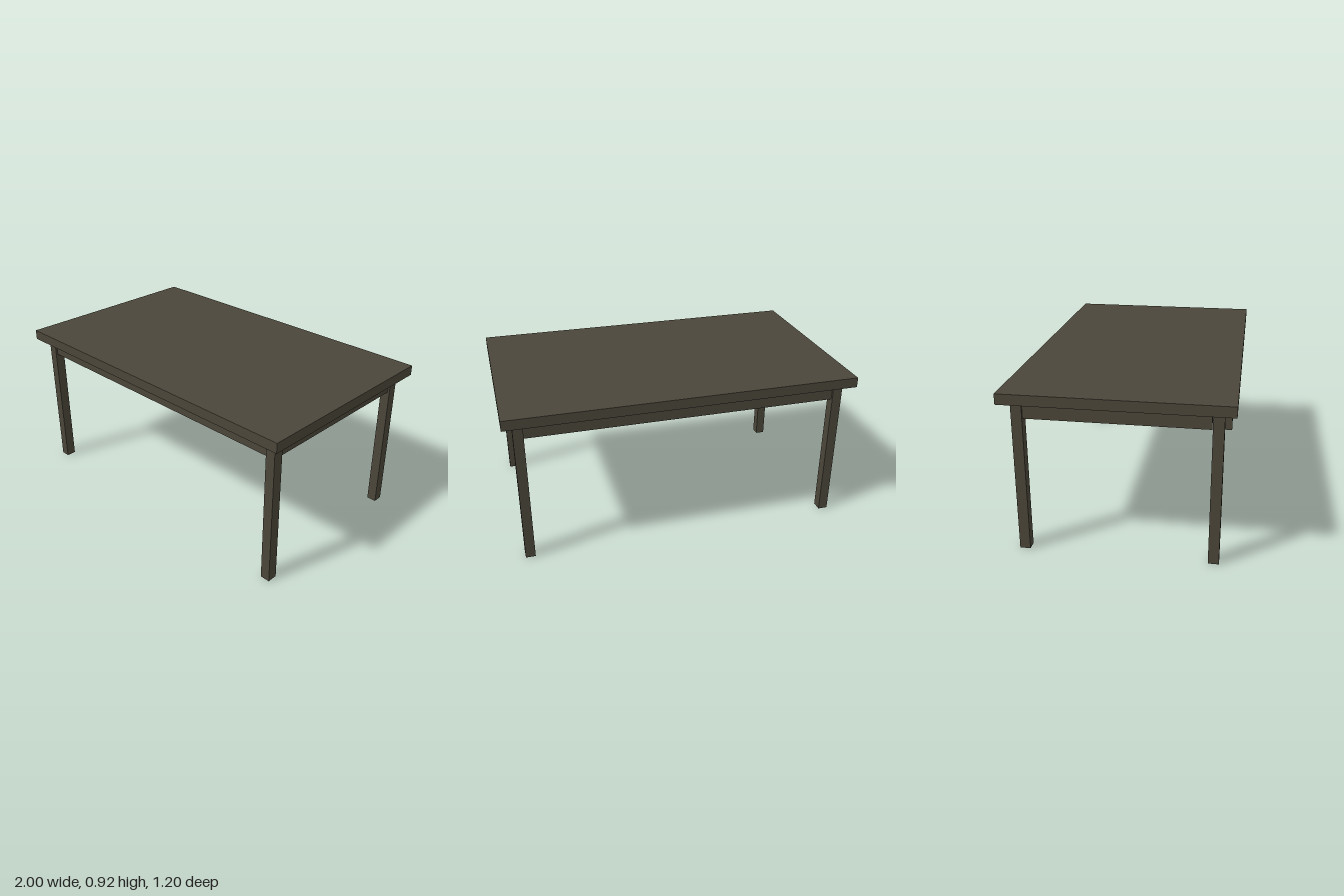
import * as THREE from 'three';

export function createModel() {
  const model = new THREE.Group();
  model.name = 'table';
  const wood = new THREE.MeshStandardMaterial({ color: 0x4b463a });
  wood.name = 'darkWood';

  // Box given by its minimum and maximum corners
  function box(name, [x0, y0, z0], [x1, y1, z1], parent = model) {
    const mesh = new THREE.Mesh(new THREE.BoxGeometry(x1 - x0, y1 - y0, z1 - z0), wood);
    mesh.position.set((x0 + x1) / 2, (y0 + y1) / 2, (z0 + z1) / 2);
    mesh.name = name;
    parent.add(mesh);
    return mesh;
  }

  const under = 0.857, apronBottom = 0.762;
  box('tableTop', [-1, under, -0.602], [1, 0.915, 0.602]);

  // Diagonal brace plate with end tabs and two bolts, facing +z before turning
  function cornerBracket() {
    const bracket = new THREE.Group();
    bracket.name = 'cornerBracket';
    box('bracketPlate', [-0.1, -0.035, -0.004], [0.1, 0.035, 0.004], bracket);
    for (const s of [-1, 1]) {
      const tab = box('bracketTab', [-0.02, -0.035, -0.003], [0.02, 0.035, 0.003], bracket);
      tab.position.set(s * 0.112, 0, -0.014);
      tab.rotation.y = s * Math.PI / 4;
      const bolt = new THREE.Mesh(new THREE.CylinderGeometry(0.008, 0.008, 0.11, 12), wood);
      bolt.rotation.x = Math.PI / 2;
      bolt.position.set(s * 0.05, 0.005, -0.04);
      if (s > 0) bolt.position.x = 0.012;
      else bolt.position.x = -0.012;
      bolt.position.y = s * 0.017;
      bolt.name = 'bolt';
      bracket.add(bolt);
      const head = new THREE.Mesh(new THREE.CylinderGeometry(0.01, 0.01, 0.01, 6), wood);
      head.rotation.x = Math.PI / 2;
      head.position.set(s * 0.06, 0.01, 0.008);
      head.name = 'screwHead';
      bracket.add(head);
    }
    return bracket;
  }

  // Legs and the braces behind them
  for (const sx of [-1, 1]) {
    for (const sz of [-1, 1]) {
      const leg = box('leg', [-0.028, 0, -0.029], [0.028, under, 0.029]);
      leg.position.x = sx * 0.915;
      leg.position.z = sz * 0.514;
      const bracket = cornerBracket();
      bracket.position.set(sx * 0.817, 0.808, sz * 0.417);
      bracket.rotation.y = Math.atan2(-sx, -sz);
      model.add(bracket);
    }
  }

  // Aprons between the legs, with a small gap at the front of the side ones
  for (const s of [-1, 1]) {
    const long = box('longApron', [-0.887, apronBottom, -0.0125], [0.887, under, 0.0125]);
    long.position.z = s * 0.519;
    const side = box('sideApron', [-0.0125, apronBottom, -0.485], [0.0125, under, 0.481]);
    side.position.x = s * 0.919;
    // Cleat under the top along the long apron
    const cleat = box('cleat', [-0.465, under - 0.018, -0.0225], [0.465, under, 0.0225]);
    cleat.position.z = s * 0.484;
  }
  return model;
}
